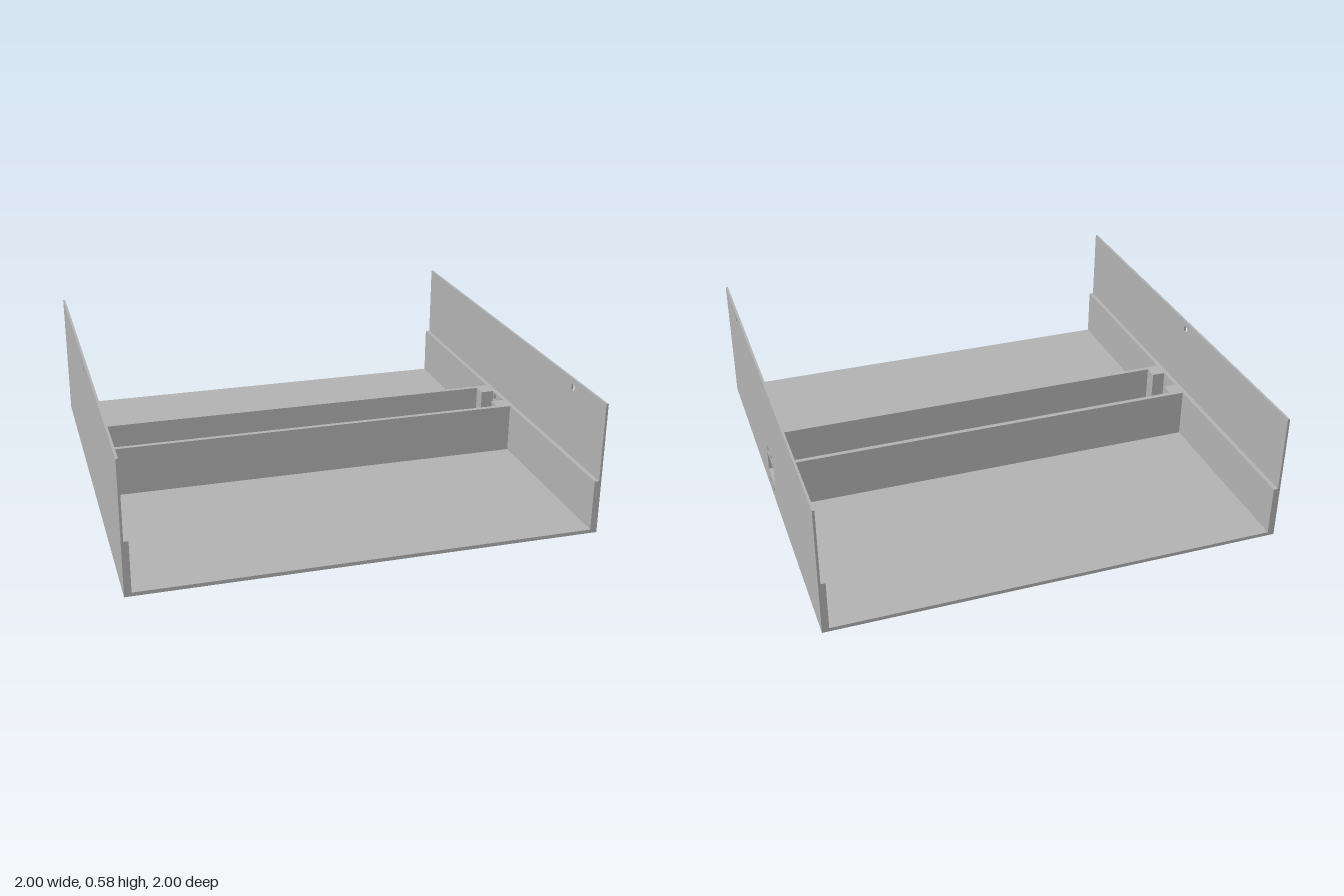
import * as THREE from 'three';

// Rectangle outline from centre and size
function rect(cx, cy, w, h, Type = THREE.Path) {
  const p = new Type();
  p.moveTo(cx - w / 2, cy - h / 2);
  p.lineTo(cx + w / 2, cy - h / 2);
  p.lineTo(cx + w / 2, cy + h / 2);
  p.lineTo(cx - w / 2, cy + h / 2);
  p.closePath();
  return p;
}

function plate(outline, holes, depth) {
  outline.holes.push(...holes);
  return new THREE.ExtrudeGeometry(outline, { depth, bevelEnabled: false });
}

export function createModel() {
  const group = new THREE.Group();
  const grey = new THREE.MeshStandardMaterial({ color: 0xb2b2b2 });
  grey.name = 'plain grey';

  function add(name, geometry, x, y, z) {
    const mesh = new THREE.Mesh(geometry, grey);
    mesh.name = name;
    mesh.position.set(x, y, z);
    group.add(mesh);
  }

  // Floor in two layers: the lower one has square foot recesses
  const slot = () => rect(0, 0, 1.94, 0.24);
  const feet = [];
  for (const sx of [-1, 1]) for (const sz of [-1, 1]) feet.push(rect(sx * 0.91, sz * 0.92, 0.07, 0.07));
  const floorTop = 0.016, split = 0.008;
  add('floorUpper', plate(rect(0, 0, 1.98, 2, THREE.Shape), [slot()], floorTop - split).rotateX(Math.PI / 2), 0, floorTop, 0);
  add('floorLower', plate(rect(0, 0, 1.98, 2, THREE.Shape), [slot(), ...feet], split).rotateX(Math.PI / 2), 0, split, 0);

  // Side panels and inner walls; only the +x side has the connector openings
  const openings = () => {
    const list = [rect(0, 0.136, 0.15, 0.092)];
    for (const z of [-0.037, 0.037]) for (const y of [0.047, 0.218]) list.push(rect(z, y, 0.028, 0.028));
    return list;
  };
  for (const s of [-1, 1]) {
    const cuts = () => (s > 0 ? openings() : []);
    const pin = rect(s > 0 ? 0.705 : -0.075, 0.545, 0.028, 0.028);
    const panel = plate(rect(0, 0.2925, 2, 0.585, THREE.Shape), [pin, ...cuts()], 0.01);
    panel.rotateY(-Math.PI / 2);
    add('sidePanel', panel, s > 0 ? 1 : -0.99, 0, 0);

    const wall = plate(rect(0, (0.24 + floorTop) / 2, 2, 0.24 - floorTop, THREE.Shape), cuts(), 0.02);
    wall.rotateY(-Math.PI / 2);
    add('innerWall', wall, s > 0 ? 0.99 : -0.97, 0, 0);

    // Divider across the tray, one on each side of the slot
    add('divider', new THREE.BoxGeometry(1.94, 0.24 - floorTop, 0.022), 0, (0.24 + floorTop) / 2, s * 0.131);

    // Corner posts inside the slot
    for (const sz of [-1, 1]) {
      add('slotPost', new THREE.BoxGeometry(0.06, 0.24 - split, 0.06), s * 0.94, (0.24 + split) / 2, sz * 0.09);
    }
  }
  return group;
}
